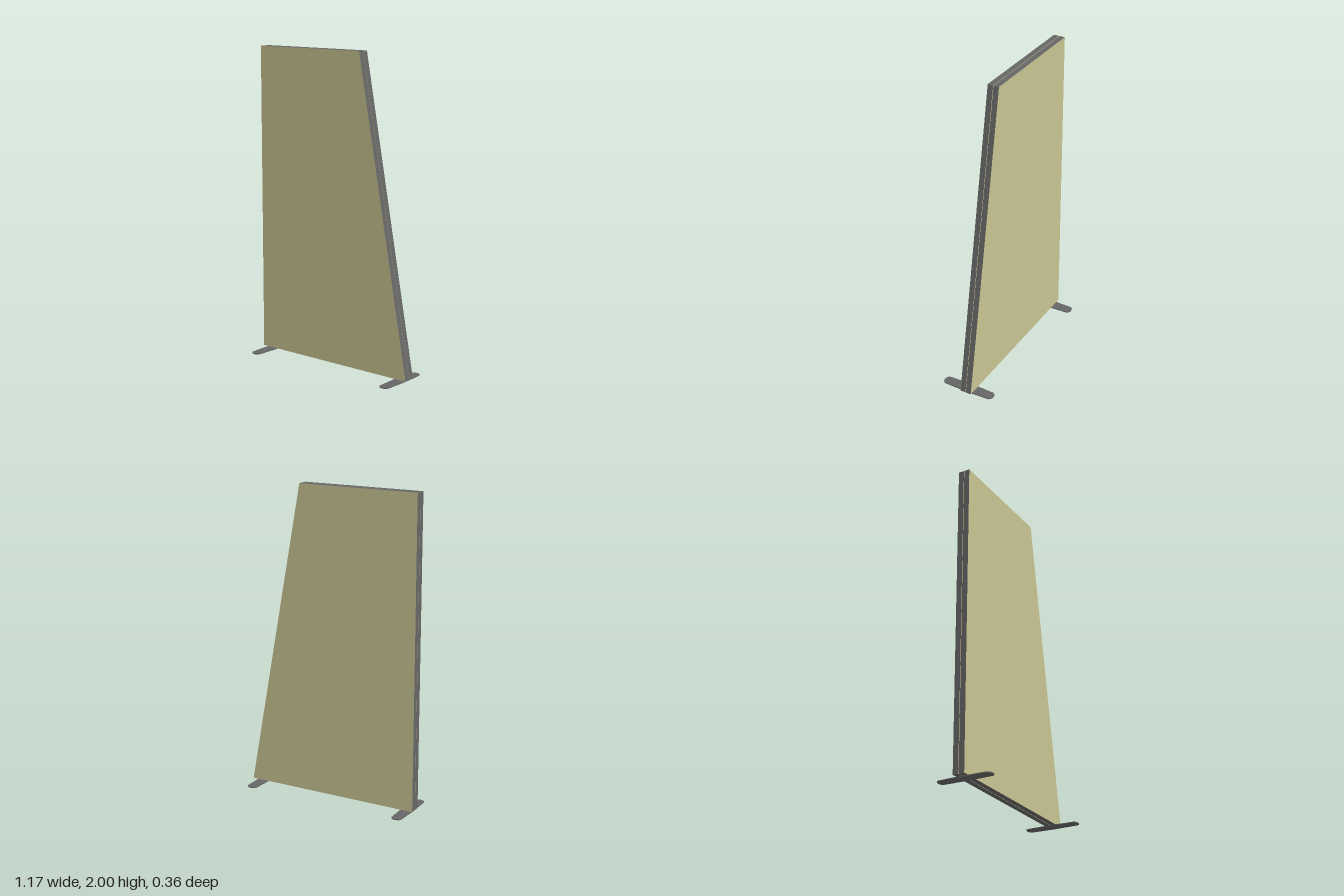
import * as THREE from 'three';

const fabric = new THREE.MeshStandardMaterial({ color: 0xc8c492 });
const dark = new THREE.MeshStandardMaterial({ color: 0x666666 });

// Sloped panel outline, optionally drawn in from the edges
function panelShape(inset = 0) {
  return new THREE.Shape([
    new THREE.Vector2(-0.587 + inset, 0.015 + inset),
    new THREE.Vector2(0.587 - inset * 1.2, 0.015 + inset),
    new THREE.Vector2(0.215 - inset * 0.85, 2 - inset),
    new THREE.Vector2(-0.587 + inset, 2 - inset),
  ]);
}

function slab(name, shape, z0, z1, materials) {
  const geometry = new THREE.ExtrudeGeometry(shape, { depth: z1 - z0, bevelEnabled: false });
  const mesh = new THREE.Mesh(geometry, materials);
  mesh.name = name;
  mesh.position.z = z0;
  return mesh;
}

// Flat foot plate, widest in the middle with rounded ends
function footGeometry() {
  const s = new THREE.Shape();
  s.moveTo(0.0385, 0);
  s.lineTo(0.033, 0.155);
  s.bezierCurveTo(0.032, 0.187, -0.032, 0.187, -0.033, 0.155);
  s.lineTo(-0.0385, 0);
  s.lineTo(-0.033, -0.155);
  s.bezierCurveTo(-0.032, -0.187, 0.032, -0.187, 0.033, -0.155);
  s.closePath();
  const g = new THREE.ExtrudeGeometry(s, { depth: 0.006, bevelEnabled: false, curveSegments: 12 });
  return g.rotateX(-Math.PI / 2);
}

export function createModel() {
  const model = new THREE.Group();
  model.name = 'partitionScreen';

  // Two fabric-faced boards with a narrow recessed seam between them
  model.add(slab('frontBoard', panelShape(), -0.011, 0.025, [fabric, dark]));
  model.add(slab('backBoard', panelShape(), -0.05, -0.014, [fabric, dark]));
  model.add(slab('seamCore', panelShape(0.005), -0.014, -0.011, dark));

  // Feet
  const foot = footGeometry();
  for (const [name, x] of [['rightFoot', -0.533], ['leftFoot', 0.525]]) {
    const mesh = new THREE.Mesh(foot, dark);
    mesh.name = name;
    mesh.position.x = x;
    model.add(mesh);
  }
  return model;
}
